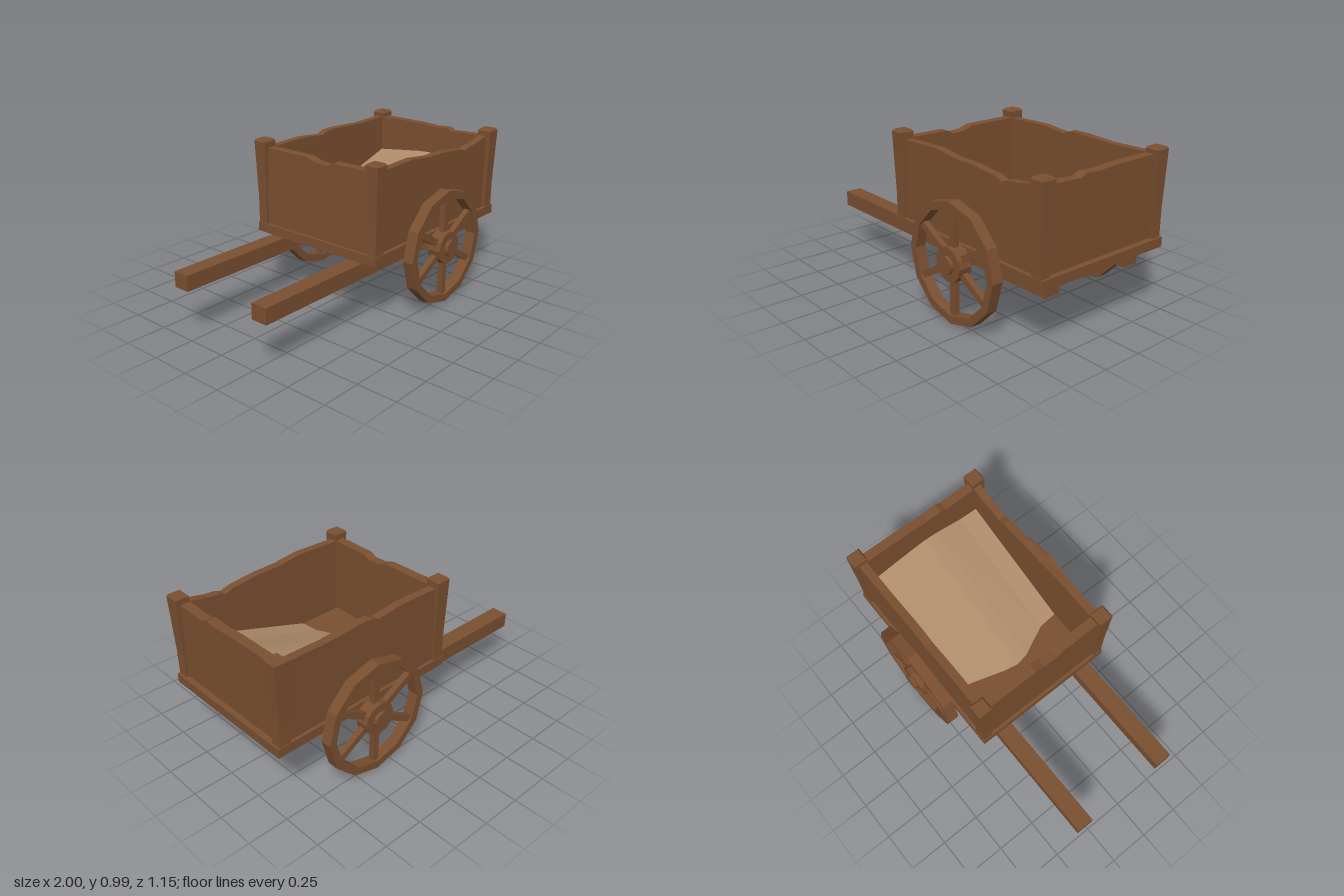
import * as THREE from 'three';

const wood = new THREE.MeshStandardMaterial({ color: 0x7a4f30 });
wood.name = 'brown wood';
const straw = new THREE.MeshStandardMaterial({ color: 0xae8c6b, side: THREE.DoubleSide });
straw.name = 'pale load';

// Facets every face so that edges stay crisp
function faceted(geometry) {
  const g = geometry.index ? geometry.toNonIndexed() : geometry;
  g.computeVertexNormals();
  return g;
}

function add(parent, name, geometry, material = wood) {
  const mesh = new THREE.Mesh(faceted(geometry), material);
  mesh.name = name;
  parent.add(mesh);
  return mesh;
}

// Box given by its limits on each axis
function block(parent, name, [x0, x1], [y0, y1], [z0, z1]) {
  const g = new THREE.BoxGeometry(x1 - x0, y1 - y0, z1 - z0);
  g.translate((x0 + x1) / 2, (y0 + y1) / 2, (z0 + z1) / 2);
  return add(parent, name, g);
}

// Plank wall with a worn upper edge; top lists [position, height]
function wall(parent, name, top, thickness) {
  const shape = new THREE.Shape();
  shape.moveTo(top[0][0], 0.45);
  shape.lineTo(top[top.length - 1][0], 0.45);
  for (const [u, v] of [...top].reverse()) shape.lineTo(u, v);
  shape.closePath();
  return add(parent, name, new THREE.ExtrudeGeometry(shape, { depth: thickness, bevelEnabled: false }));
}

// Corner post that widens to the top, with a shallow bevelled head
function post(parent, name, sx, sz, x, height) {
  const rows = [
    [0.45, 0.075, 0.062, 0], [0.62, 0.073, 0.066, 0], [height - 0.012, 0.088, 0.09, 0.003], [height, 0.07, 0.07, 0.003],
  ];
  const g = new THREE.BoxGeometry(1, 1, 1, 1, 3, 1);
  const p = g.attributes.position;
  for (let i = 0; i < p.count; i++) {
    const [y, w, d, lean] = rows[Math.round((p.getY(i) + 0.5) * 3)];
    p.setXYZ(i, x + sx * lean + p.getX(i) * w, y, sz * (0.429 - lean / 3) + p.getZ(i) * d);
  }
  add(parent, name, g);
}

function wheel(name, side) {
  const group = new THREE.Group();
  group.name = name;

  // Twelve-sided rim
  const ring = (r) => Array.from({ length: 12 }, (_, i) =>
    new THREE.Vector2(r * Math.cos(i * Math.PI / 6), r * Math.sin(i * Math.PI / 6)));
  const shape = new THREE.Shape(ring(0.36));
  shape.holes.push(new THREE.Path(ring(0.312)));
  const rim = new THREE.ExtrudeGeometry(shape, { depth: 0.068, bevelEnabled: false });
  rim.translate(0, 0, -0.034);
  add(group, 'rim', rim);

  // Three bars make six spokes
  for (let i = 0; i < 3; i++) {
    const spoke = add(group, 'spoke', new THREE.BoxGeometry(0.04, 0.64, 0.036));
    spoke.rotation.z = i * Math.PI / 3;
  }

  // Hub and axle end
  for (const [part, r, z0, z1] of [['hub', 0.103, -0.036, 0.046], ['axleEnd', 0.052, 0.04, 0.068]]) {
    const g = new THREE.CylinderGeometry(r, r, z1 - z0, 12);
    g.rotateX(Math.PI / 2);
    g.translate(0, 0, (z0 + z1) / 2);
    add(group, part, g);
  }
  group.position.set(0.36, 0.36, side * 0.507);
  if (side < 0) group.rotation.y = Math.PI;
  return group;
}

export function createModel() {
  const cart = new THREE.Group();
  cart.name = 'handcart';

  // Bed and running gear
  block(cart, 'bed', [-0.25, 1], [0.4, 0.457], [-0.465, 0.465]);
  block(cart, 'axleBeam', [0.315, 0.405], [0.33, 0.395], [-0.478, 0.478]);
  for (const s of [1, -1]) {
    const z = s > 0 ? [0.255, 0.36] : [-0.36, -0.255];
    block(cart, s > 0 ? 'frontShaft' : 'backShaft', [-1, 0.915], [0.3, 0.395], z);
    cart.add(wheel(s > 0 ? 'frontWheel' : 'backWheel', s));
  }

  // Long walls
  wall(cart, 'frontWall', [[-0.2, 0.935], [0.12, 0.945], [0.28, 0.925], [0.44, 0.922], [0.62, 0.903],
    [0.67, 0.885], [0.71, 0.9], [0.79, 0.908], [0.94, 0.94]], 0.05).position.z = 0.39;
  wall(cart, 'backWall', [[-0.2, 0.935], [0.1, 0.942], [0.22, 0.93], [0.28, 0.925], [0.33, 0.945],
    [0.42, 0.947], [0.65, 0.935], [0.94, 0.942]], 0.05).position.z = -0.445;

  // Short walls
  const ends = [
    ['leftWall', 0.965, [[-0.42, 0.942], [-0.1, 0.942], [0.04, 0.934], [0.14, 0.94], [0.18, 0.922], [0.25, 0.926], [0.42, 0.933]]],
    ['rightWall', -0.17, [[-0.42, 0.942], [-0.06, 0.94], [0, 0.92], [0.09, 0.915], [0.13, 0.938], [0.42, 0.942]]],
  ];
  for (const [name, x, top] of ends) {
    const w = wall(cart, name, top, 0.06);
    w.rotation.y = -Math.PI / 2;
    w.position.x = x;
  }

  // Corner posts
  for (const s of [1, -1]) {
    post(cart, s > 0 ? 'frontLeftPost' : 'backLeftPost', 1, s, 0.948, 0.978);
    post(cart, s > 0 ? 'frontRightPost' : 'backRightPost', -1, s, -0.207, 0.99);
  }

  // Load heaped against the left wall: [z, lower edge x, height at the wall]
  const slices = [[-0.4, 0.12, 0.71], [-0.08, 0.02, 0.75], [0, 0.005, 0.755], [0.08, 0.02, 0.75], [0.27, 0.11, 0.715], [0.395, 0.12, 0.71]];
  const points = slices.flatMap(([z, x, h]) => [x, 0.458, z, 0.91, h, z]);
  const index = [];
  for (let i = 0; i < slices.length - 1; i++) {
    const a = i * 2;
    index.push(a, a + 2, a + 1, a + 1, a + 2, a + 3);
  }
  const heap = new THREE.BufferGeometry();
  heap.setAttribute('position', new THREE.Float32BufferAttribute(points, 3));
  heap.setIndex(index);
  add(cart, 'load', heap, straw);

  return cart;
}
